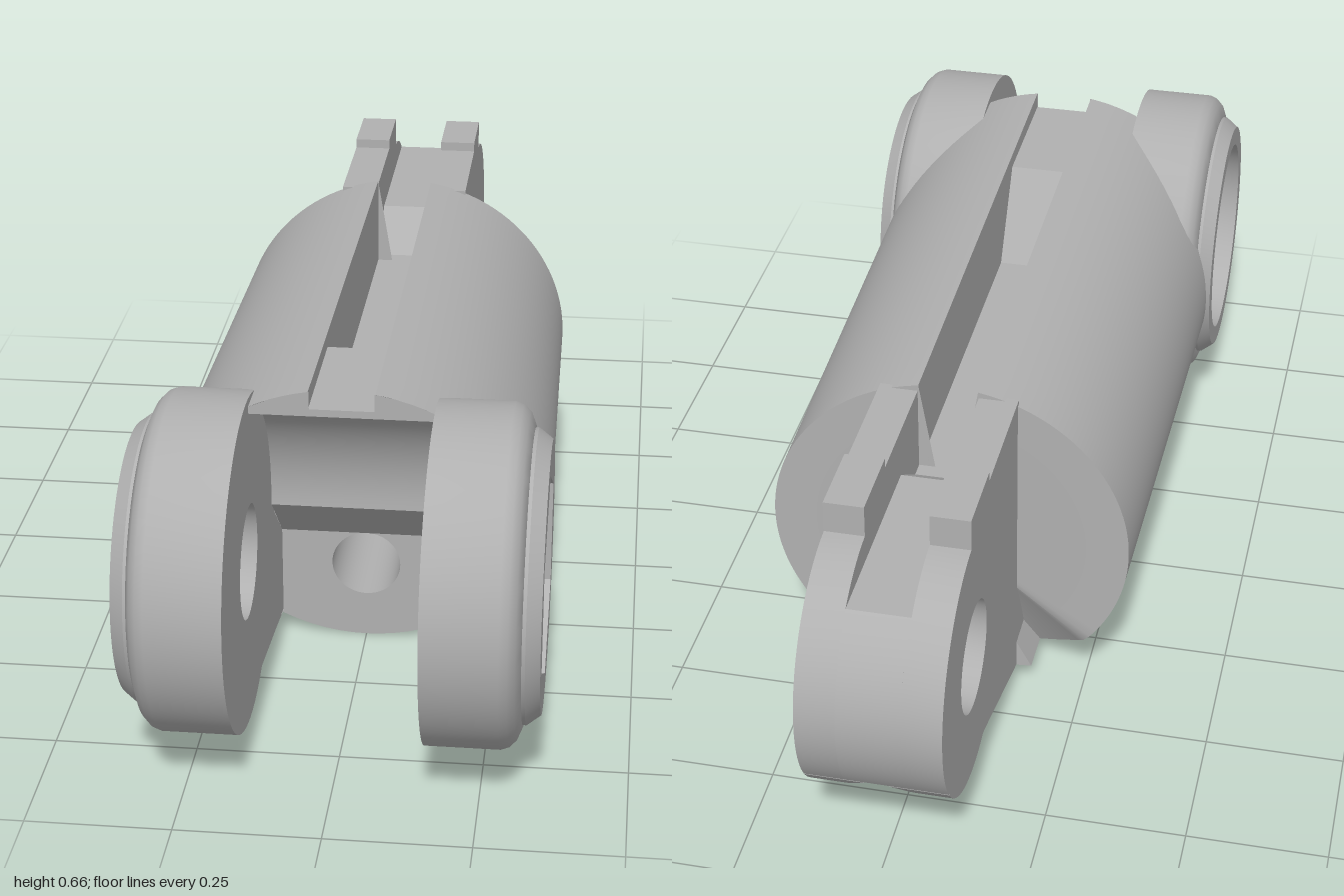
import * as THREE from 'three';
import { toCreasedNormals } from 'three/addons/utils/BufferGeometryUtils.js';

const EAR = { z: 0.707, y: 0.352, r: 0.293 };
const TIP = { z: -0.76, y: 0.35, r: 0.24 };
const SLOT = 0.157, GROOVE = 0.055, TUNNEL = 0.064, TUNNEL_Y = 0.15;

const mix = (a, b, t) => a + (b - a) * t;
const V = (x, y) => new THREE.Vector2(x, y);

// body half width, half height (also centre height) along z
const halfW = z => mix(0.33, 0.347, (z + 0.4) / 1.08);
const halfH = z => mix(0.323, 0.333, (z + 0.4) / 1.08);
// underside: flat, then sloping up to the round tip
const bottomAt = z => z > -0.28 ? 0 : z > -0.69 ? (-0.28 - z) * 0.293
  : TIP.y - Math.sqrt(Math.max(0, TIP.r ** 2 - (z - TIP.z) ** 2));
// floor of the top channel
const floorAt = z => z > 0.42 ? 0.63 : z > 0.31 ? mix(0.47, 0.63, (z - 0.31) / 0.11) : 0.47;

function arc(cx, cy, r, a0, a1, n) {
  return Array.from({ length: n + 1 }, (_, i) => {
    const a = mix(a0, a1, i / n);
    return V(cx + r * Math.cos(a), cy + r * Math.sin(a));
  });
}
const circlePath = (x, y, r, n = 48) => new THREE.Path(arc(x, y, r, 0, Math.PI * 2, n).slice(0, n));

// extrude a (z, y) outline sideways between two x positions
function acrossX(points, holes, x0, x1) {
  const shape = new THREE.Shape(points);
  shape.holes.push(...holes);
  const g = new THREE.ExtrudeGeometry(shape, { depth: x1 - x0, bevelEnabled: false });
  g.rotateY(-Math.PI / 2).translate(x1, 0, 0);
  return toCreasedNormals(g, 0.5);
}

// outer skin with channel, ending inside the ears
function bodySkin() {
  const a1 = Math.asin(GROOVE / 0.338), a2 = Math.asin(SLOT / 0.338), P = Math.PI;
  const zones = [['groove', -a1, a1, 2], ['top', a1, a2, 5], ['side', a2, P - a2, 40], ['bottom', P - a2, P + a2, 12],
    ['side', P + a2, 2 * P - a2, 40], ['top', 2 * P - a2, 2 * P - a1, 5]];
  const ring = [];
  for (const [zone, s, e, n] of zones) for (let i = 0; i <= n; i++) ring.push([zone, mix(s, e, i / n)]);
  ring.push(ring[0]);
  const rows = [-0.4, -0.34, -0.28, 0, 0.31, 0.32, 0.42, 0.47, 0.52, 0.57, 0.62, 0.68];
  const pos = [], idx = [], n = ring.length;
  for (const row of rows) for (const [zone, a] of ring) {
    const y0 = 0.33 + 0.33 * Math.cos(a);
    let z = row;
    if (zone === 'bottom') z = Math.min(z, 0.32);
    if (zone === 'side') {
      const d = Math.sqrt(Math.max(0, 0.24 ** 2 - (y0 - EAR.y) ** 2));
      z = Math.min(z, EAR.z - d);
      z = Math.max(z, -0.4 + Math.max(0, 0.12 - y0));
    }
    let y = halfH(z) * (1 + Math.cos(a));
    y = Math.max(y, bottomAt(z));
    if (zone === 'side' && z > 0.32) y = Math.max(y, 0.045 + (z - 0.32) * 0.125);
    if (zone === 'groove') y = floorAt(z);
    pos.push(halfW(z) * Math.sin(a), y, z);
  }
  for (let j = 0; j < rows.length - 1; j++) for (let i = 0; i < n - 1; i++) {
    const p = j * n + i;
    idx.push(p, p + n, p + 1, p + 1, p + n, p + n + 1);
  }
  // back cap
  pos.push(0, 0.32, -0.4);
  for (let i = 0; i < n - 1; i++) idx.push(i, i + 1, n * rows.length);
  const g = new THREE.BufferGeometry();
  g.setAttribute('position', new THREE.Float32BufferAttribute(pos, 3));
  g.setIndex(idx);
  return toCreasedNormals(g, 0.5);
}

// concave wall between the ears
function slotWall() {
  const pts = [V(0.68, 0.617), ...arc(EAR.z, EAR.y, 0.265, Math.PI * 0.54, Math.PI * 1.03, 24), V(0.32, 0.213)];
  const pos = [], idx = [];
  pts.forEach((p, i) => {
    pos.push(-SLOT, p.y, p.x, SLOT, p.y, p.x);
    if (i) idx.push(2 * i - 2, 2 * i, 2 * i - 1, 2 * i - 1, 2 * i, 2 * i + 1);
  });
  const g = new THREE.BufferGeometry();
  g.setAttribute('position', new THREE.Float32BufferAttribute(pos, 3));
  g.setIndex(idx);
  return toCreasedNormals(g, 0.4);
}

// half of the tongue's underside, wrapped round the tunnel and trimmed to the slope
function tongueUnderside() {
  const shape = new THREE.Shape([V(0, 0), V(0.125, 0), V(0.125, 0.215), V(0, 0.215),
    ...arc(0, TUNNEL_Y, TUNNEL, Math.PI / 2, -Math.PI / 2, 20)]);
  const g = new THREE.ExtrudeGeometry(shape, { depth: 0.655, steps: 40, bevelEnabled: false });
  g.translate(0, 0, -0.955);
  const p = g.attributes.position;
  for (let i = 0; i < p.count; i++) {
    const b = Math.min(bottomAt(p.getZ(i)), 0.2145);
    if (p.getY(i) >= b) continue;
    const open = Math.sqrt(Math.max(0, TUNNEL ** 2 - (b - TUNNEL_Y) ** 2));
    p.setXY(i, Math.max(p.getX(i), open), b);
  }
  return toCreasedNormals(g, 0.5);
}

export function createModel() {
  const model = new THREE.Group();
  const grey = new THREE.MeshStandardMaterial({ color: 0xb0b0b0, side: THREE.DoubleSide });
  grey.name = 'grey';
  const add = (name, geometry, parent = model) => {
    const m = new THREE.Mesh(geometry, grey);
    m.name = name;
    parent.add(m);
    return m;
  };

  add('bodySkin', bodySkin());
  add('slotWall', slotWall());

  // front faces of the body, above and below the slot
  const rim = (x, s) => V(x, 0.333 + s * 0.333 * Math.sqrt(1 - (x / 0.346) ** 2));
  const xs = [-SLOT, -0.12, -0.09, -GROOVE];
  const brow = new THREE.Shape([V(SLOT, 0.617), V(-SLOT, 0.617), ...xs.map(x => rim(x, 1)), V(-GROOVE, 0.63),
    V(GROOVE, 0.63), ...xs.slice().reverse().map(x => rim(-x, 1))]);
  add('slotBrow', new THREE.ShapeGeometry(brow)).position.z = 0.68;
  const chin = new THREE.Shape([V(SLOT, 0.213), V(-SLOT, 0.213),
    ...Array.from({ length: 13 }, (_, i) => rim(mix(-SLOT, SLOT, i / 12), -1))]);
  chin.holes.push(circlePath(0, TUNNEL_Y, TUNNEL - 0.0005));
  add('slotChin', new THREE.ShapeGeometry(chin)).position.z = 0.32;

  // cable tunnel through the body
  const tunnel = new THREE.CylinderGeometry(TUNNEL, TUNNEL, 0.72, 48, 1, true);
  add('tunnel', tunnel.rotateX(Math.PI / 2).translate(0, TUNNEL_Y, -0.04));

  // hinge ears: hexagonal pocket on the left, round pocket on the right
  const shellProfile = [V(0.1, SLOT), V(EAR.r, SLOT), V(EAR.r, 0.285), V(0.288, 0.299), V(0.276, 0.311),
    V(0.254, 0.32), V(0.25, 0.32), V(0.25, 0.326), V(0.232, 0.35)];
  for (const s of [1, -1]) {
    const ear = new THREE.Group();
    ear.name = s > 0 ? 'leftEar' : 'rightEar';
    ear.position.set(0, EAR.y, EAR.z);
    ear.scale.x = s;
    model.add(ear);
    const shell = new THREE.LatheGeometry(shellProfile, 72).rotateZ(-Math.PI / 2);
    add('earShell', toCreasedNormals(shell, 0.6), ear);
    const pocket = s > 0 ? new THREE.Path(arc(0, 0, 0.188, Math.PI / 2, Math.PI * 2.5, 6).slice(0, 6)) : circlePath(0, 0, 0.195);
    const disc = arc(0, 0, 0.232, 0, Math.PI * 2, 72).slice(0, 72);
    add('earPocket', acrossX(disc, [pocket], 0.25, 0.35), ear);
    add('earCore', acrossX(disc, [circlePath(0, 0, 0.1)], SLOT + 0.001, 0.25), ear);

    // cheek joining the ear to the body beside the slot
    add('earCheek', acrossX([V(0.32, 0.045), V(0.6, 0.082), V(0.55, 0.2), V(0.45, 0.33), V(0.32, 0.213)],
      [], SLOT, SLOT + 0.005)).scale.x = s;
  }

  // tongue: grooved centre between two side plates
  const tipFrom = y => Math.PI - Math.asin((y - TIP.y) / TIP.r);
  const tipArc = y => arc(TIP.z, TIP.y, TIP.r, tipFrom(y), tipFrom(0.214), 36);
  const pin = () => circlePath(TIP.z, TIP.y, 0.1);
  add('tongueCentre', acrossX([V(-0.39, 0.214), V(-0.39, 0.47), V(-0.43, 0.47), V(-0.53, 0.54), ...tipArc(0.54)],
    [pin()], -GROOVE, GROOVE));
  const plate = [V(-0.39, 0.214), V(-0.39, 0.63), V(-0.635, 0.63), V(-0.635, 0.648), V(-0.775, 0.648), ...tipArc(0.5895)];
  const plateGeometry = acrossX(plate, [pin()], GROOVE, 0.125);
  const underside = tongueUnderside();
  for (const s of [1, -1]) {
    add('tonguePlate', plateGeometry).scale.x = s;
    add('tongueUnderside', underside).scale.x = s;
  }
  return model;
}
